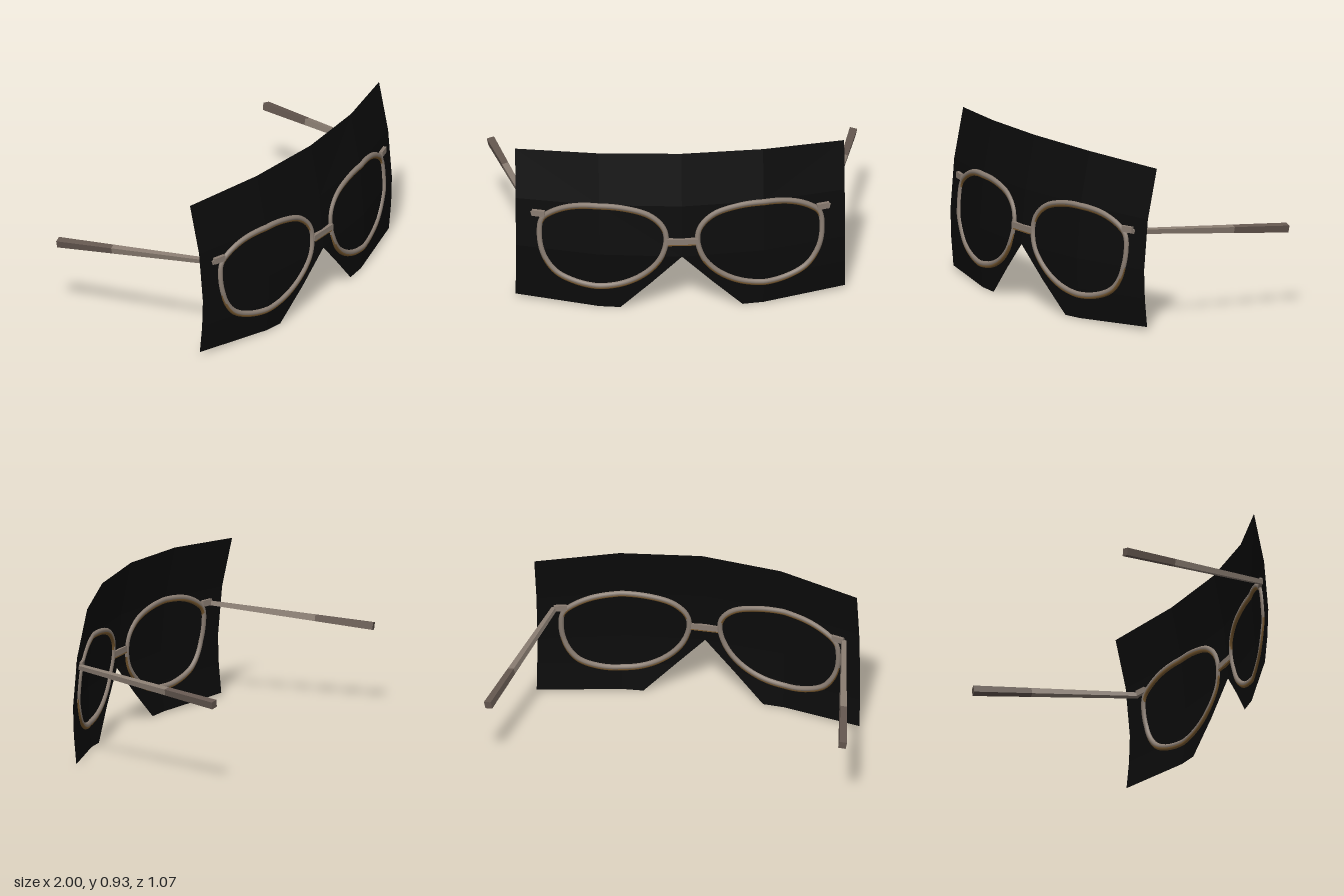
import * as THREE from 'three';

const material = (name, color, extra = {}) => {
  const m = new THREE.MeshStandardMaterial({ color, ...extra });
  m.name = name;
  return m;
};

// Sheet profile down the middle (y, z) and its sweep back toward the sides (x, z)
const PROFILE = [[0, 0.515], [0.17, 0.53], [0.34, 0.535], [0.64, 0.51], [0.935, 0.45]];
const SWEEP = [[0, 0], [0.445, -0.045], [0.89, -0.172]];

function lerpTable(table, t) {
  let i = 0;
  while (i < table.length - 2 && t > table[i + 1][0]) i++;
  const [a, b] = [table[i], table[i + 1]];
  return a[1] + ((b[1] - a[1]) * (t - a[0])) / (b[0] - a[0]);
}
const squeeze = (x) => 1 - 0.07 * (x / 0.89) ** 2;
const sheetZ = (x, y) =>
  lerpTable(PROFILE, 0.34 + (y - 0.34) / squeeze(x)) + lerpTable(SWEEP, Math.abs(x));

// One half of the faceted sheet; below the nose point the inner edge runs outward
function halfSheet(side) {
  const pos = [], index = [];
  for (const [y] of PROFILE) {
    const inner = y < 0.34 ? 0.33 * (1 - y / 0.34) : 0;
    for (const x of [inner, 0.445, 0.89]) {
      const py = 0.34 + (y - 0.34) * squeeze(x);
      pos.push(side * x, py, sheetZ(x, py));
    }
  }
  for (let r = 0; r < PROFILE.length - 1; r++) {
    for (let c = 0; c < 2; c++) {
      const a = r * 3 + c, b = a + 1, d = a + 3, e = a + 4;
      if (side > 0) index.push(a, b, e, a, e, d);
      else index.push(a, e, b, a, d, e);
    }
  }
  const g = new THREE.BufferGeometry();
  g.setAttribute('position', new THREE.Float32BufferAttribute(pos, 3));
  g.setIndex(index);
  g.computeVertexNormals();
  return g;
}

// Outline of one rim
const RIM = [
  [0.085, 0.43], [0.1, 0.51], [0.17, 0.58], [0.3, 0.62], [0.46, 0.63], [0.6, 0.61],
  [0.7, 0.565], [0.75, 0.52], [0.765, 0.43], [0.745, 0.31], [0.68, 0.21], [0.58, 0.16],
  [0.46, 0.142], [0.32, 0.165], [0.2, 0.23], [0.12, 0.32],
];
function rimGeometry(side, drop, radius) {
  const flat = new THREE.CatmullRomCurve3(RIM.map(([x, y]) => new THREE.Vector3(x, y, 0)), true);
  const points = flat.getSpacedPoints(48).slice(0, -1).map((p) =>
    new THREE.Vector3(side * p.x, p.y - drop, sheetZ(p.x, p.y)));
  return new THREE.TubeGeometry(new THREE.CatmullRomCurve3(points, true), 96, radius, 8, true);
}

// Square tapered bar between two points
function bar(a, b, sizeA, sizeB) {
  const dir = b.clone().sub(a);
  const g = new THREE.CylinderGeometry(sizeB * Math.SQRT1_2, sizeA * Math.SQRT1_2, dir.length(), 4);
  g.rotateY(Math.PI / 4);
  g.applyQuaternion(new THREE.Quaternion().setFromUnitVectors(
    new THREE.Vector3(0, 1, 0), dir.clone().normalize()));
  const mid = a.clone().add(b).multiplyScalar(0.5);
  return g.translate(mid.x, mid.y, mid.z);
}

export function createModel() {
  const black = material('black sheet', 0x0b0b0b, { side: THREE.DoubleSide, flatShading: true });
  const grey = material('warm grey frame', 0x8a7d72);
  const greyFlat = material('warm grey bars', 0x8a7d72, { flatShading: true });
  const tip = material('dark temple tip', 0x655850, { flatShading: true });
  const brown = material('brown underside', 0x7a5a30);

  const model = new THREE.Group();
  model.name = 'glassesOnSheet';
  const add = (name, geometry, mat) => {
    const mesh = new THREE.Mesh(geometry, mat);
    mesh.name = name;
    model.add(mesh);
    return mesh;
  };

  for (const side of [1, -1]) {
    const label = side > 0 ? 'left' : 'right';
    add(label + 'Sheet', halfSheet(side), black);

    // Rim with a brown lower layer
    add(label + 'Rim', rimGeometry(side, 0, 0.015), grey);
    add(label + 'RimUnderside', rimGeometry(side, 0.01, 0.0125), brown);

    // Hinge block at the outer top corner
    const hinge = add(label + 'Hinge', new THREE.BoxGeometry(0.07, 0.034, 0.035), greyFlat);
    hinge.position.set(side * 0.768, 0.55, sheetZ(0.768, 0.55));
    hinge.rotation.y = side * 0.28;

    // Temple arm and its darker tip
    const start = new THREE.Vector3(side * 0.797, 0.543, 0.375);
    const end = new THREE.Vector3(side * 0.978, 0.471, -0.53);
    const joint = start.clone().lerp(end, 0.65);
    add(label + 'Temple', bar(start, joint, 0.024, 0.035), greyFlat);
    add(label + 'TempleTip', bar(joint, end, 0.035, 0.041), tip);
  }

  // Nose bridge
  const bridge = add('bridge', new THREE.BoxGeometry(0.17, 0.032, 0.03), greyFlat);
  bridge.position.set(0, 0.433, 0.525);
  const under = add('bridgeUnderside', new THREE.BoxGeometry(0.15, 0.008, 0.026), brown);
  under.position.set(0, 0.413, 0.525);

  return model;
}
